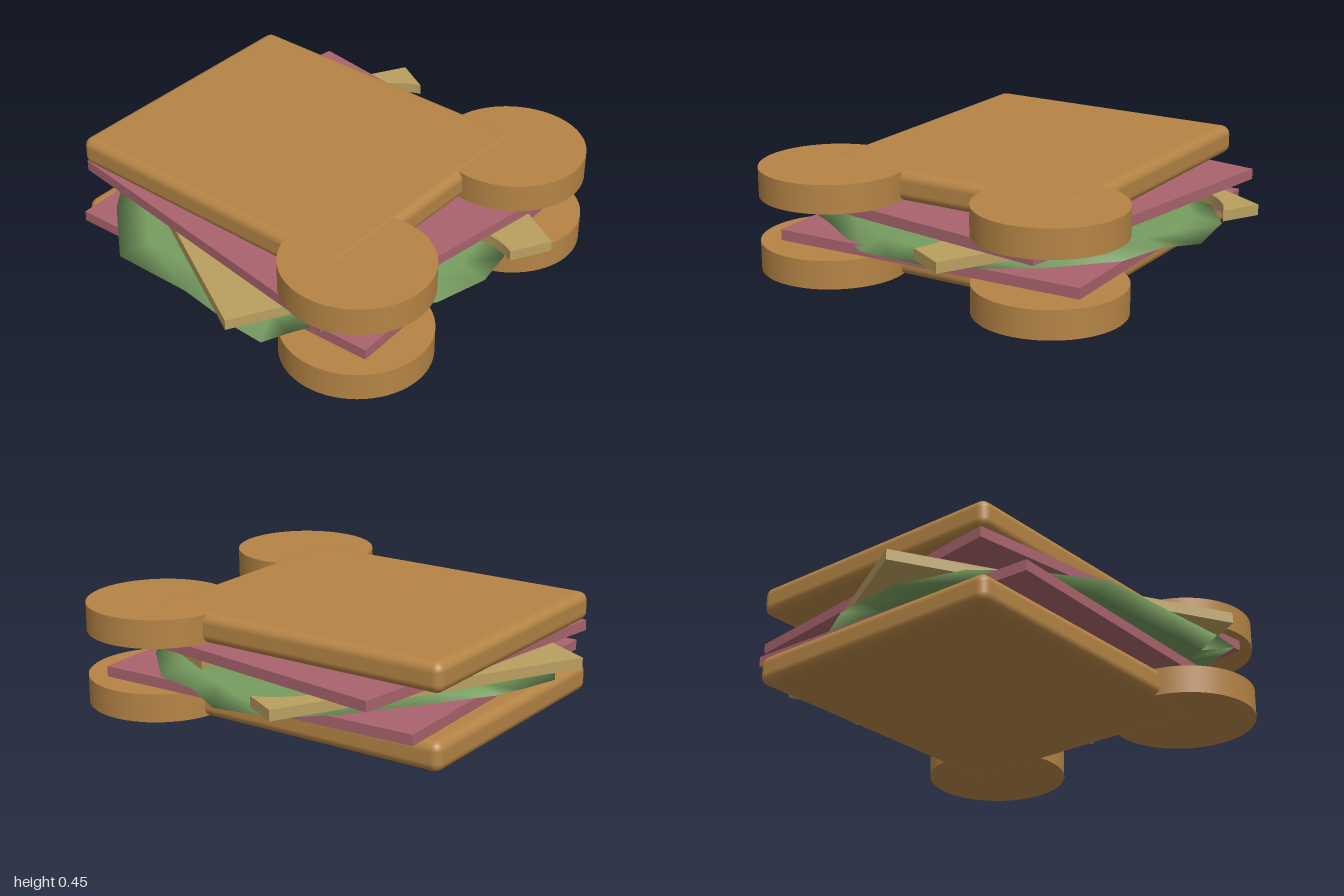
import * as THREE from 'three';
import { RoundedBoxGeometry } from 'three/addons/geometries/RoundedBoxGeometry.js';

const material = (name, color, side = THREE.FrontSide) => {
  const m = new THREE.MeshStandardMaterial({ color, side });
  m.name = name;
  return m;
};

export function createModel() {
  const model = new THREE.Group();
  model.name = 'sandwich';
  const crust = material('toasted bread', 0xb58445);
  const pink = material('ham pink', 0xa9646d);
  const yellow = material('cheese yellow', 0xbaa05f);
  const green = material('lettuce green', 0x769b5f, THREE.DoubleSide);

  const add = (name, geometry, mat, x, y, z, turn = 0, parent = model) => {
    const mesh = new THREE.Mesh(geometry, mat);
    mesh.name = name;
    mesh.position.set(x, y, z);
    mesh.rotation.y = turn;
    parent.add(mesh);
    return mesh;
  };

  // Bread slices: a softened slab with two round lobes
  const slab = new RoundedBoxGeometry(1.41, 0.127, 1.22, 4, 0.04);
  const lobe = new THREE.CylinderGeometry(0.313, 0.313, 0.122, 64);
  for (const [name, y] of [['bottomBread', 0.0635], ['topBread', 0.3825]]) {
    const slice = new THREE.Group();
    slice.name = name;
    slice.position.y = y;
    model.add(slice);
    add('breadSlab', slab, crust, -0.135, 0, 0, 0, slice);
    for (const side of [-1, 1]) add('breadLobe', lobe, crust, 0.604, 0, side * 0.524, 0, slice);
  }

  // Ham slices, each turned a little differently
  const ham = new THREE.BoxGeometry(1.5, 0.046, 1.41);
  add('lowerHam', ham, pink, 0.002, 0.153, -0.003, 0.03);
  add('upperHam', ham, pink, 0.005, 0.297, -0.002, -0.142);

  // Cheese slice with two round bites opening through its edges
  const s = new THREE.Shape();
  const a = Math.atan2(0.23, 0.25);
  s.moveTo(-0.75, -0.705);
  s.lineTo(-0.57, -0.705);
  s.absarc(-0.32, -0.475, 0.34, Math.PI + a, -a, true);
  s.lineTo(0.75, -0.705);
  s.lineTo(0.75, -0.516);
  s.absarc(0.75, -0.196, 0.32, -Math.PI / 2, -Math.PI * 1.5, true);
  s.lineTo(0.75, 0.705);
  s.lineTo(-0.75, 0.705);
  s.closePath();
  const cheese = new THREE.ExtrudeGeometry(s, { depth: 0.046, bevelEnabled: false, curveSegments: 32 });
  cheese.rotateX(Math.PI / 2);
  add('cheese', cheese, yellow, 0, 0.271, -0.003, -0.504);

  // Lettuce leaf: closed loops shrinking from the ragged rim to the middle
  // Each rim point is x, z, rim height, lift of the fold just inside it
  const rim = [
    [-0.25, -0.85, 0.185, 0], [0.03, -0.89, 0.18, 0], [0.2, -0.81, 0.2, 0], [0.42, -0.745, 0.195, 0.01],
    [0.66, -0.5, 0.19, 0.01], [0.84, -0.15, 0.18, 0], [0.885, 0.05, 0.2, 0.01], [0.8, 0.25, 0.165, 0],
    [0.62, 0.55, 0.19, 0.015], [0.49, 0.8, 0.19, 0], [0.435, 0.905, 0.18, 0], [0.3, 0.905, 0.185, 0],
    [0, 0.87, 0.195, 0], [-0.38, 0.86, 0.18, 0], [-0.62, 0.64, 0.2, 0.025], [-0.76, 0.45, 0.21, 0.03],
    [-0.9, 0.2, 0.17, 0], [-0.86, 0, 0.18, 0], [-0.83, -0.15, 0.19, 0], [-0.65, -0.45, 0.2, 0],
    [-0.45, -0.7, 0.195, 0],
  ];
  // Loop scale, height, and how strongly it follows the rim and the fold
  const loops = [[0.02, 0.222, 0, 0], [0.7, 0.222, 0, 0], [0.86, 0.217, 0.25, 1], [1, 0, 1, 0],
    [0.86, 0.182, 0.35, 1], [0.7, 0.178, 0, 0], [0.02, 0.178, 0, 0]];
  const positions = [], index = [], n = rim.length;
  loops.forEach(([scale, y, follow, fold], r) => {
    rim.forEach(([x, z, edge, lift], i) => {
      positions.push(x * scale, y * (1 - follow) + edge * follow + lift * fold, z * scale);
      if (r === 0) return;
      const j = (i + 1) % n, p = (r - 1) * n, q = r * n;
      index.push(p + i, p + j, q + i, p + j, q + j, q + i);
    });
  });
  // Reverse the corners so the leaf faces outward
  for (let i = 0; i < index.length; i += 3) [index[i + 1], index[i + 2]] = [index[i + 2], index[i + 1]];
  const leaf = new THREE.BufferGeometry();
  leaf.setAttribute('position', new THREE.Float32BufferAttribute(positions, 3));
  leaf.setIndex(index);
  leaf.computeVertexNormals();
  add('lettuce', leaf, green, 0, 0, 0);

  return model;
}
